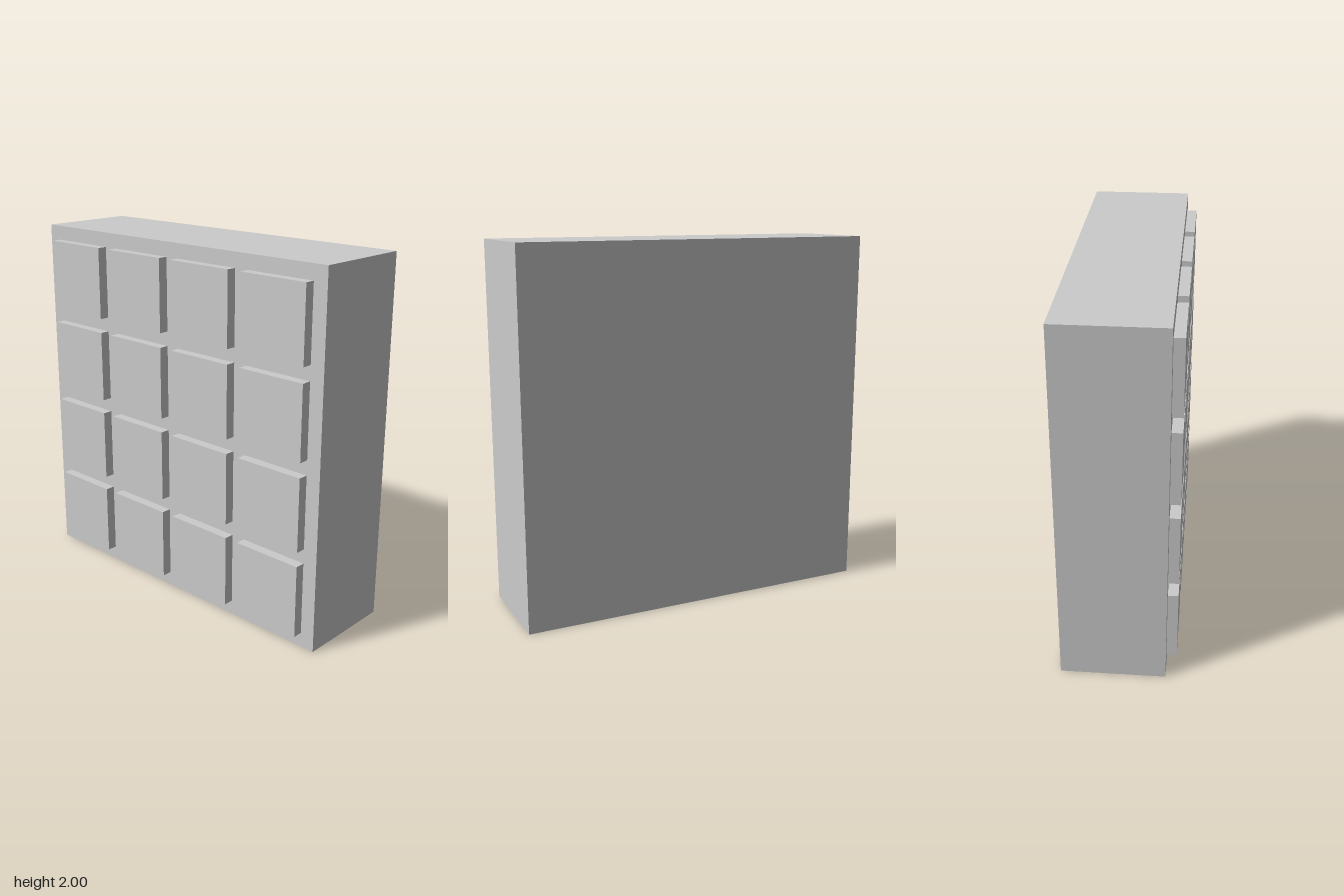
import * as THREE from 'three';

const COUNT = 4, PAD = 0.4, PITCH = 0.48;
const BACK = -0.305, FACE = 0.25, FRONT = 0.305;

export function createModel() {
  const group = new THREE.Group();
  group.name = 'keypadBlock';
  const material = new THREE.MeshStandardMaterial({ color: 0xcccccc });

  // Main slab
  const body = new THREE.Mesh(new THREE.BoxGeometry(2, 2, FACE - BACK), material);
  body.name = 'body';
  body.position.set(0, 1, (FACE + BACK) / 2);
  group.add(body);

  // Grid of raised square pads on the front face
  const pads = new THREE.Group();
  pads.name = 'pads';
  const padGeometry = new THREE.BoxGeometry(PAD, PAD, FRONT - FACE);
  const offset = (i) => (i - (COUNT - 1) / 2) * PITCH;
  for (let row = 0; row < COUNT; row++) {
    for (let col = 0; col < COUNT; col++) {
      const pad = new THREE.Mesh(padGeometry, material);
      pad.name = `pad row ${row + 1} column ${col + 1}`;
      pad.position.set(offset(col), 1 + offset(row), (FACE + FRONT) / 2);
      pads.add(pad);
    }
  }
  group.add(pads);

  return group;
}
